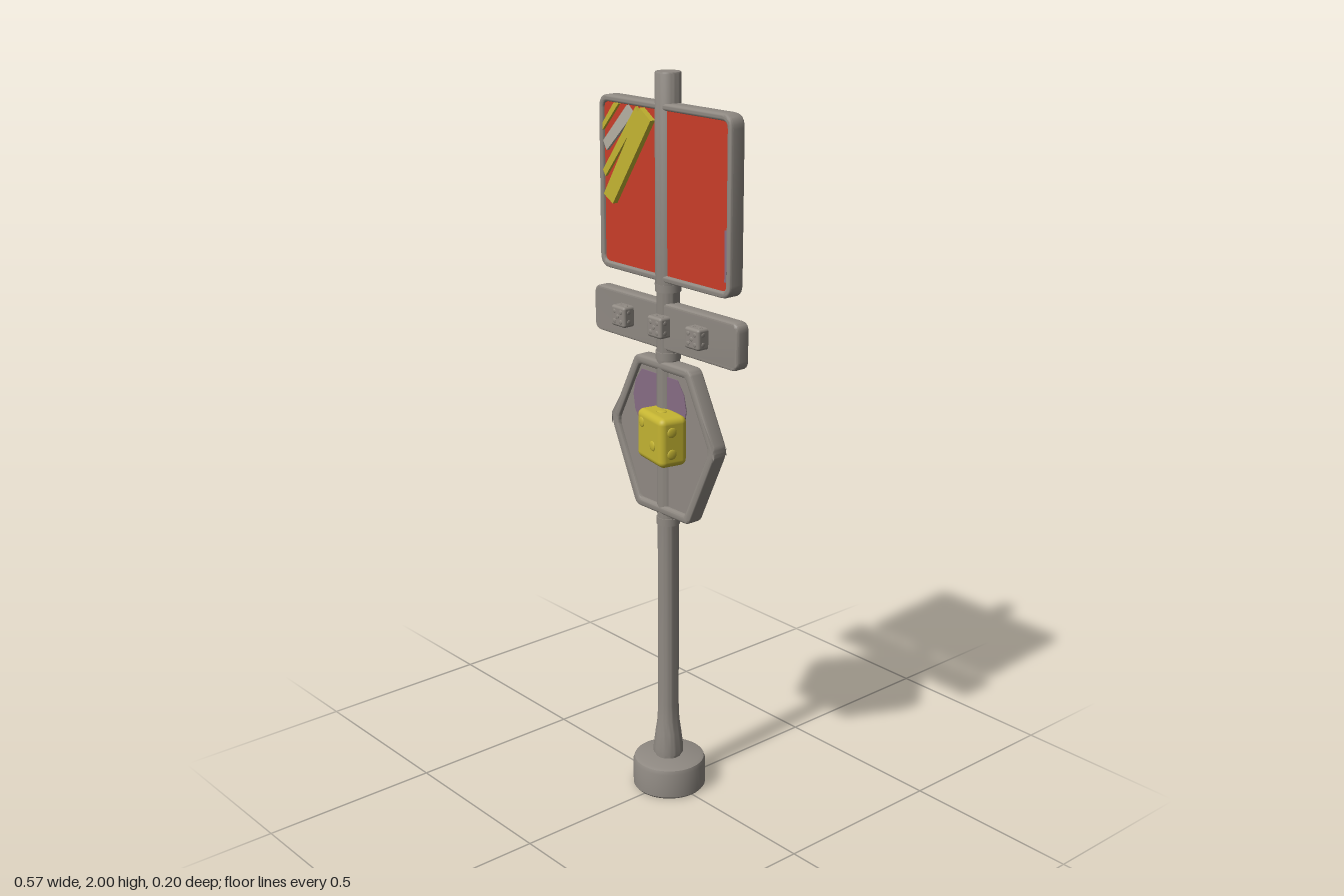
import * as THREE from 'three';
import { toCreasedNormals } from 'three/addons/utils/BufferGeometryUtils.js';
import { RoundedBoxGeometry } from 'three/addons/geometries/RoundedBoxGeometry.js';

const material = (name, color) => {
  const m = new THREE.MeshStandardMaterial({ color });
  m.name = name;
  return m;
};

// closed outline through the corners, each rounded by r
function roundedPath(points, r, Type = THREE.Shape) {
  const v = points.map(p => new THREE.Vector2(...p));
  const path = new Type();
  v.forEach((p, i) => {
    const prev = v[(i + v.length - 1) % v.length], next = v[(i + 1) % v.length];
    const a = p.clone().add(prev.clone().sub(p).setLength(r));
    const b = p.clone().add(next.clone().sub(p).setLength(r));
    if (i === 0) path.moveTo(a.x, a.y); else path.lineTo(a.x, a.y);
    path.quadraticCurveTo(p.x, p.y, b.x, b.y);
  });
  path.closePath();
  return path;
}

const rect = (x0, y0, x1, y1) => [[x0, y0], [x1, y0], [x1, y1], [x0, y1]];

// solid between z0 and z1 with rounded edges of size b
function slab(shape, z0, z1, b = 0) {
  const g = new THREE.ExtrudeGeometry(shape, {
    depth: z1 - z0 - 2 * b, bevelEnabled: b > 0, bevelThickness: b,
    bevelSize: b, bevelOffset: -b, bevelSegments: 3, curveSegments: 6
  });
  g.translate(0, 0, z0 + b);
  return toCreasedNormals(g, 0.6);
}

export function createModel() {
  const grey = material('grey metal', 0x8f8982);
  const red = material('red paint', 0xc83c28);
  const yellow = material('yellow paint', 0xc4b432);
  const purple = material('purple paint', 0x866c84);
  const pale = material('pale paint', 0xb4afa2);

  const model = new THREE.Group();
  const add = (name, geometry, mat, parent = model) => {
    const mesh = new THREE.Mesh(geometry, mat);
    mesh.name = name;
    parent.add(mesh);
    return mesh;
  };
  const lathe = pts => toCreasedNormals(
    new THREE.LatheGeometry(pts.map(p => new THREE.Vector2(...p)), 40), 0.6);

  // round foot
  add('base', lathe([[0, 0], [0.098, 0], [0.102, 0.005], [0.102, 0.075],
    [0.098, 0.086], [0.088, 0.09], [0, 0.09]]), grey).position.x = -0.006;

  // pole with a flared foot and a slightly thicker upper part
  add('pole', lathe([[0, 0.085], [0.036, 0.085], [0.036, 0.097], [0.042, 0.1], [0.042, 0.115],
    [0.036, 0.165], [0.031, 0.2], [0.029, 0.25], [0.029, 0.8], [0.031, 0.84],
    [0.031, 1.44], [0.034, 1.46], [0.034, 1.996], [0.032, 2], [0, 2]]), grey).position.x = -0.01;
  for (const [y, r] of [[0.803, 0.032], [1.268, 0.034], [1.45, 0.035]]) {
    add('collar', new THREE.CylinderGeometry(r, r, 0.02, 32), grey).position.set(-0.01, y, 0);
  }

  // frame ring with a panel inside it
  function sign(name, outer, inner, radius, z, panelZ, panelMat) {
    const group = new THREE.Group();
    group.name = name;
    const ring = roundedPath(outer, radius);
    ring.holes.push(roundedPath(inner, radius * 0.5, THREE.Path));
    add('frame', slab(ring, z[0], z[1], 0.007), grey, group);
    add('backing', slab(roundedPath(inner, radius * 0.5), panelZ[0], panelZ[1]), grey, group);
    if (panelMat) {
      add('panelFace', slab(roundedPath(inner, radius * 0.5), panelZ[1], panelZ[1] + 0.002), panelMat, group);
    }
    model.add(group);
    return group;
  }

  // upper square sign
  const square = sign('squareSign', rect(-0.252, 1.468, 0.258, 1.924),
    rect(-0.234, 1.486, 0.24, 1.906), 0.035, [-0.016, 0.031], [-0.015, 0.022], red);
  add('squareBack', slab(roundedPath(rect(-0.246, 1.474, 0.252, 1.918), 0.03), -0.016, 0), grey, square);
  const stripes = [
    [yellow, [[-0.222, 1.667], [-0.185, 1.646], [-0.032, 1.878], [-0.074, 1.906]]],
    [yellow, [[-0.234, 1.728], [-0.224, 1.712], [-0.084, 1.886], [-0.1, 1.906]]],
    [pale, [[-0.232, 1.805], [-0.218, 1.78], [-0.11, 1.885], [-0.135, 1.906]]],
    [yellow, [[-0.234, 1.85], [-0.234, 1.832], [-0.168, 1.906], [-0.188, 1.906]]]
  ];
  stripes.forEach(([mat, pts], i) => add('stripe',
    slab(new THREE.Shape(pts.map(p => new THREE.Vector2(...p))), 0.024, i ? 0.032 : 0.04), mat, square));
  add('edgeMark', slab(new THREE.Shape(rect(0.232, 1.51, 0.239, 1.64)
    .map(p => new THREE.Vector2(...p))), 0.0235, 0.026), purple, square);

  // narrow middle plate
  const plate = sign('narrowPlate', rect(-0.284, 1.287, 0.284, 1.412),
    rect(-0.27, 1.301, 0.27, 1.398), 0.025, [-0.014, 0.027], [-0.0135, 0.023]);
  add('plateBack', slab(roundedPath(rect(-0.278, 1.293, 0.278, 1.406), 0.02), -0.014, 0), grey, plate);

  // lower hexagon sign
  const hexagon = (w, t, h) => [[-w, 1.04], [-t, 1.04 - h], [t, 1.04 - h], [w, 1.04], [w, 1.06],
    [t, 1.04 + h], [-t, 1.04 + h], [-w, 1.06]].map(([x, y]) => [x - 0.003, y]);
  const hex = sign('hexagonSign', hexagon(0.207, 0.108, 0.214), hexagon(0.179, 0.092, 0.189),
    0.017, [-0.016, 0.031], [-0.005, 0.02]);

  // painted disc, cut off by the top of the panel
  const disc = new THREE.Shape();
  const halfChord = 0.072, cx = -0.02, cy = 1.135;
  const a0 = Math.acos(halfChord / 0.107);
  disc.absarc(cx, cy, 0.107, Math.PI - a0, a0 + Math.PI * 2, false);
  disc.closePath();
  add('paintedDisc', slab(disc, 0.02, 0.0225), purple, hex);

  // die with raised pips; each pip is [x, y, z, flattened axis]
  function die(name, w, d, mat, pips, r) {
    const group = new THREE.Group();
    group.name = name;
    add('dieBody', new RoundedBoxGeometry(w, w, d, 4, w * 0.13), mat, group);
    for (const [x, y, z, axis] of pips) {
      const pip = add('pip', new THREE.SphereGeometry(r, 14, 8), mat, group);
      pip.position.set(x, y, z);
      pip.scale[axis] = 0.25;
    }
    model.add(group);
    return group;
  }

  // large yellow die
  const h = 0.068, q = 0.036;
  const large = die('largeDie', 2 * h, 0.082, yellow, [
    [-q, q, 0.041, 'z'], [0.022, -0.014, 0.041, 'z'],
    [h, 0.03, 0.008, 'x'], [h, -0.03, 0.008, 'x'], [0, h, 0, 'y']], 0.014);
  large.position.set(0.02, 1.059, 0.048);
  large.rotation.y = -0.2;

  // three small dice on the plate
  for (const x of [-0.146, 0.001, 0.148]) {
    const s = 0.028, p = 0.013;
    const pips = [[0, 0, 0.02, 'z']];
    for (const sx of [-p, p]) {
      for (const sy of [-p, p]) pips.push([sx, sy, 0.02, 'z']);
      pips.push([sx, s, 0.002, 'y'], [s, sx, 0.004, 'x'], [-s, sx, 0.004, 'x']);
    }
    die('smallDie', 2 * s, 0.04, grey, pips, 0.006).position.set(x, 1.353, 0.04);
  }

  return model;
}
